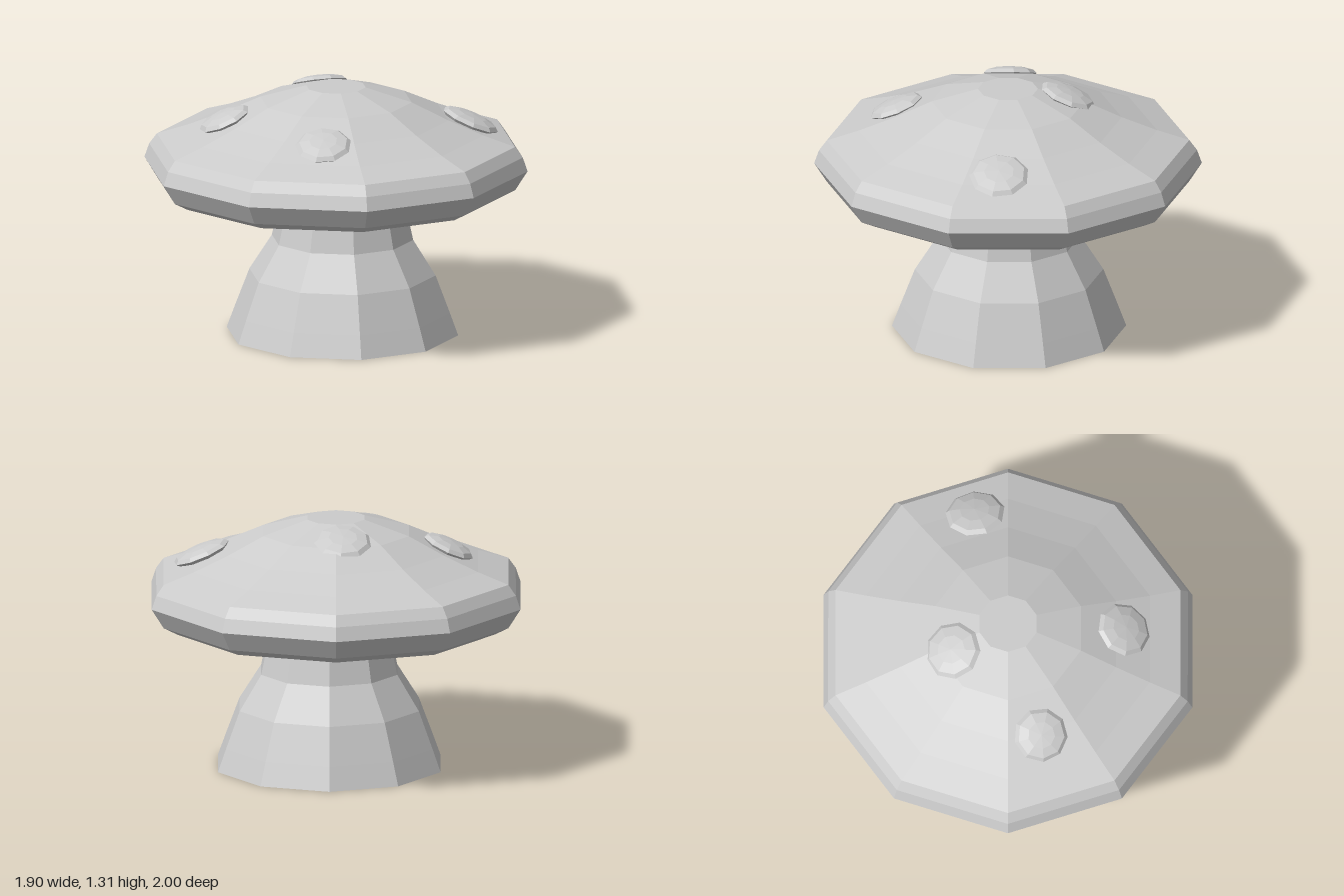
import * as THREE from 'three';

const SIDES = 10;

// Ten-sided faceted solid of revolution from [radius, height] pairs, listed bottom to top
function turned(name, profile, material) {
  const points = profile.map(([r, y]) => new THREE.Vector2(r, y));
  const mesh = new THREE.Mesh(new THREE.LatheGeometry(points, SIDES), material);
  mesh.name = name;
  return mesh;
}

export function createModel() {
  const model = new THREE.Group();
  model.name = 'mushroom';
  const solid = new THREE.MeshStandardMaterial({ color: 0xcccccc, flatShading: true });
  const open = solid.clone();
  open.side = THREE.DoubleSide;

  // Cap: flat underside, rounded rim, shallow dome with a flat crown
  model.add(turned('cap', [
    [0, 0.75], [0.86, 0.75], [0.935, 0.79], [1, 0.893], [0.975, 0.965], [0.935, 1.02],
    [0.77, 1.075], [0.587, 1.148], [0.395, 1.237], [0.155, 1.307], [0, 1.307],
  ], solid));

  // Stem: hollow flared tube, slightly off centre
  const stem = turned('stem', [
    [0.604, 0], [0.56, 0.12], [0.486, 0.315], [0.369, 0.5], [0.337, 0.645], [0.315, 0.752],
  ], open);
  stem.position.set(0.025, 0, -0.025);
  model.add(stem);

  // Spots: flattened domes lying along the slope of the cap [x, y, z, radius, tilt]
  const spots = [
    [0.59, 1.11, -0.37, 0.155, 0.4],
    [-0.21, 1.253, -0.23, 0.15, 0.36],
    [-0.476, 1.155, 0.333, 0.14, 0.42],
    [0.21, 1.145, 0.56, 0.145, 0.4],
  ];
  const dome = new THREE.SphereGeometry(1, 9, 6);
  spots.forEach(([x, y, z, r, tilt], i) => {
    const spot = new THREE.Mesh(dome, solid);
    spot.name = `spot${i + 1}`;
    spot.position.set(x, y, z);
    spot.scale.set(r, 0.036, r);
    spot.rotation.set(tilt, Math.atan2(x, z), 0, 'YXZ');
    model.add(spot);
  });

  return model;
}
